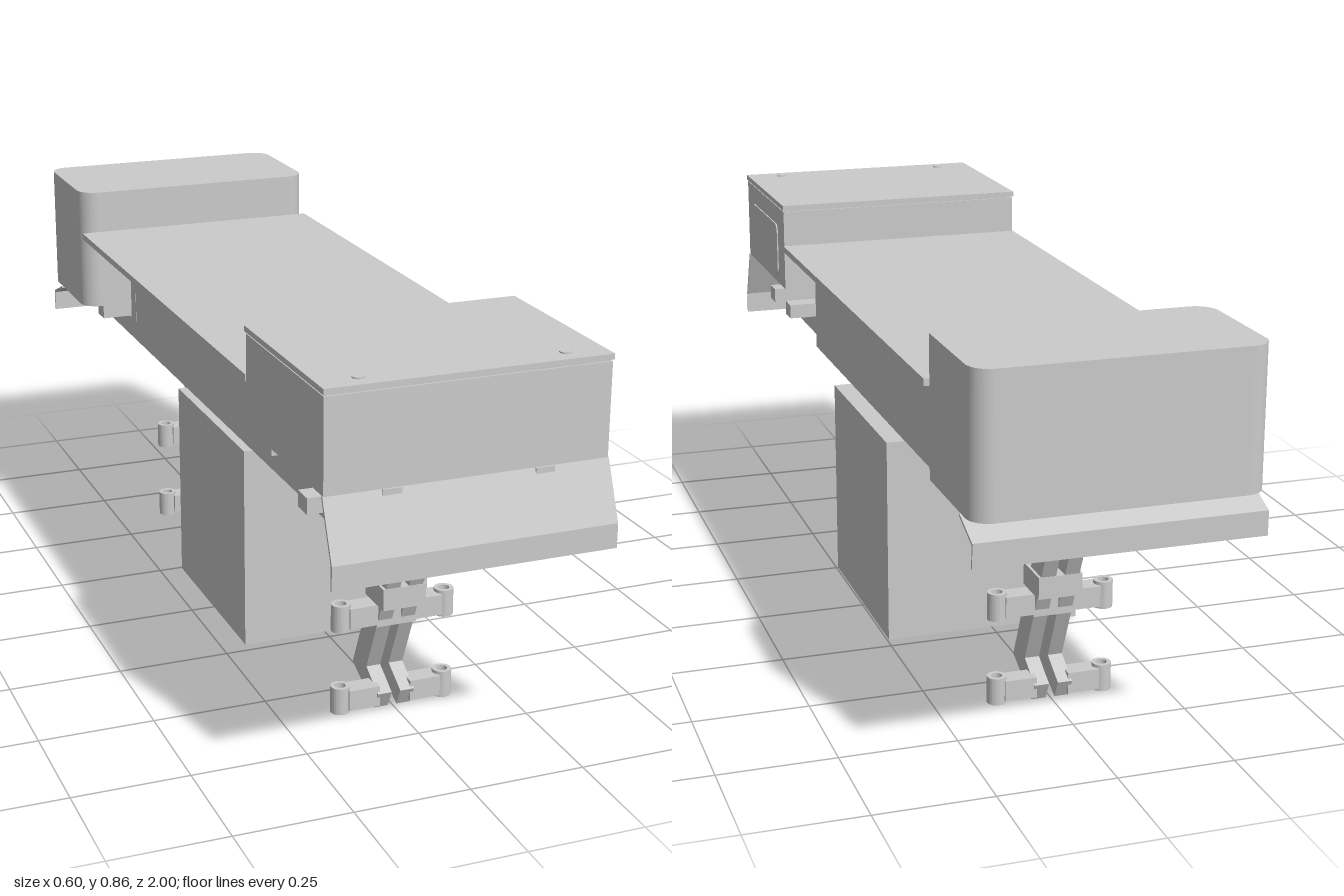
import * as THREE from 'three';

const mat = new THREE.MeshStandardMaterial({ color: 0xcccccc, flatShading: true });
const smooth = new THREE.MeshStandardMaterial({ color: 0xcccccc });

function add(parent, name, geo, m = mat) {
  const mesh = new THREE.Mesh(geo, m);
  mesh.name = name;
  parent.add(mesh);
  return mesh;
}

// Box given by its limits on each axis
function block(parent, name, x0, x1, y0, y1, z0, z1) {
  const mesh = add(parent, name, new THREE.BoxGeometry(x1 - x0, y1 - y0, z1 - z0));
  mesh.position.set((x0 + x1) / 2, (y0 + y1) / 2, (z0 + z1) / 2);
  return mesh;
}

// Rounded rectangle outline centred on the origin
function roundedRect(w, h, r) {
  const s = new THREE.Shape();
  s.absarc(w / 2 - r, h / 2 - r, r, 0, Math.PI / 2);
  s.absarc(r - w / 2, h / 2 - r, r, Math.PI / 2, Math.PI);
  s.absarc(r - w / 2, r - h / 2, r, Math.PI, Math.PI * 1.5);
  s.absarc(w / 2 - r, r - h / 2, r, Math.PI * 1.5, Math.PI * 2);
  s.closePath();
  return s;
}

// Side outline of [z, y] points, extruded across x from x0 to x1
function sideProfile(parent, name, pts, x0, x1, hole) {
  const shape = new THREE.Shape(pts.map(([z, y]) => new THREE.Vector2(-z, y)));
  for (const [z, y, r] of hole || []) shape.holes.push(new THREE.Path().absarc(-z, y, r, 0, Math.PI * 2, true));
  const geo = new THREE.ExtrudeGeometry(shape, { depth: x1 - x0, bevelEnabled: false, curveSegments: 10 });
  geo.rotateY(Math.PI / 2);
  geo.translate(x0, 0, 0);
  return add(parent, name, geo);
}

// Jointed support: paired arms, legs, and outward links with sockets
function support(name) {
  const g = new THREE.Group();
  g.name = name;
  for (const s of [-1, 1]) {
    const xa = s > 0 ? 0.01 : -0.042, xb = xa + 0.032;
    sideProfile(g, 'upperArm', [[0.99, 0.485], [0.6, 0.385], [0.6, 0.435], [0.79, 0.482], [0.97, 0.5]], xa, xb);
    sideProfile(g, 'lowerLeg', [[0.7, 0.385], [0.545, 0.035], [0.49, 0.06], [0.645, 0.41]], xa, xb);
    sideProfile(g, 'footLug', [[0.545, 0.035], [0.61, 0.005], [0.63, 0.045], [0.56, 0.085]], xa, xb);
    for (const y of [0.228, 0.038]) {
      block(g, 'sideLink', Math.min(s * 0.035, s * 0.105), Math.max(s * 0.035, s * 0.105),
        y - 0.023, y + 0.023, 0.58, 0.625);
      // Open socket at the end of the link
      const ring = new THREE.Shape().absarc(0, 0, 0.021, 0, Math.PI * 2);
      ring.holes.push(new THREE.Path().absarc(0, 0, 0.012, 0, Math.PI * 2, true));
      const geo = new THREE.ExtrudeGeometry(ring, { depth: 0.06, bevelEnabled: false, curveSegments: 12 });
      geo.rotateX(-Math.PI / 2);
      add(g, 'socket', geo, smooth).position.set(s * 0.118, y - 0.03, 0.603);
    }
  }
  block(g, 'bracket', -0.048, 0.048, 0.255, 0.303, 0.57, 0.665);
  block(g, 'linkMount', -0.045, 0.045, 0.2, 0.256, 0.582, 0.625);
  return g;
}

export function createModel() {
  const model = new THREE.Group();
  model.name = 'equipmentFrame';

  // Chassis rails, posts and top beams on both sides
  const rail = [[0.99, 0.48], [-0.99, 0.48], [-0.99, 0.53], [0.99, 0.53]];
  for (const s of [-1, 1]) {
    const a = s > 0 ? 0.14 : -0.18, b = a + 0.04;
    sideProfile(model, 'chassisRail', rail, a, b, [[0.963, 0.508, 0.012], [-0.963, 0.508, 0.012]]);
    block(model, 'topBeam', a, b, 0.725, 0.75, -0.69, 0.53);
    block(model, 'frontPost', a, b, 0.53, 0.73, 0.495, 0.53);
    block(model, 'rearPost', a, b, 0.53, 0.73, -0.68, -0.64);
    block(model, 'boxPost', a, b, 0.53, 0.65, 0.925, 0.955);
    block(model, 'boxPost', a, b, 0.53, 0.65, 0.53, 0.56);
  }
  // Cross members
  for (const z of [0.95, 0.72, 0.5, -0.5, -0.72, -0.95]) {
    block(model, 'crossMember', -0.14, 0.14, 0.485, 0.525, z - 0.02, z + 0.02);
  }
  for (const z of [0.9, 0.72, -0.72, -0.88]) {
    block(model, 'crossBeam', -0.25, 0.25, 0.53, 0.565, z - 0.025, z + 0.025);
  }

  // Central body, its cover and the box hung below
  block(model, 'centralBody', -0.2, 0.25, 0.53, 0.725, -0.57, 0.41);
  block(model, 'topCover', -0.3, 0.3, 0.745, 0.76, -0.69, 0.53);
  block(model, 'hangingBox', -0.2, 0.25, 0.012, 0.48, -0.23, 0.235);

  // Front box with lid, side door and lid studs
  block(model, 'frontBox', -0.298, 0.298, 0.65, 0.846, 0.53, 0.95);
  block(model, 'frontBoxLid', -0.3, 0.3, 0.85, 0.862, 0.526, 0.953);
  block(model, 'lidSeal', -0.294, 0.294, 0.846, 0.85, 0.534, 0.946);
  const door = new THREE.ExtrudeGeometry(roundedRect(0.29, 0.13, 0.02), { depth: 0.003, bevelEnabled: false });
  door.rotateY(Math.PI / 2);
  add(model, 'sideDoor', door).position.set(0.298, 0.735, 0.745);
  for (const x of [-0.215, 0.215]) {
    add(model, 'lidStud', new THREE.CylinderGeometry(0.012, 0.012, 0.004, 12), smooth).position.set(x, 0.863, 0.912);
  }

  // Rear box with rounded upright corners
  const rear = new THREE.ExtrudeGeometry(roundedRect(0.6, 0.31, 0.045), { depth: 0.297, bevelEnabled: false, curveSegments: 8 });
  rear.rotateX(-Math.PI / 2);
  add(model, 'rearBox', rear, smooth).position.set(0, 0.565, -0.845);

  // Folded sheet aprons at both ends
  sideProfile(model, 'frontApron', [[0.95, 0.65], [1, 0.53], [1, 0.478], [0.994, 0.478], [0.994, 0.529], [0.944, 0.65]], -0.3, 0.3);
  sideProfile(model, 'rearApron', [[-0.92, 0.562], [-1, 0.53], [-1, 0.478], [-0.994, 0.478], [-0.994, 0.526], [-0.92, 0.556]], -0.3, 0.3);

  // Front support and its copy turned to the rear
  model.add(support('frontSupport'));
  const back = support('rearSupport');
  back.rotation.y = Math.PI;
  model.add(back);

  return model;
}
